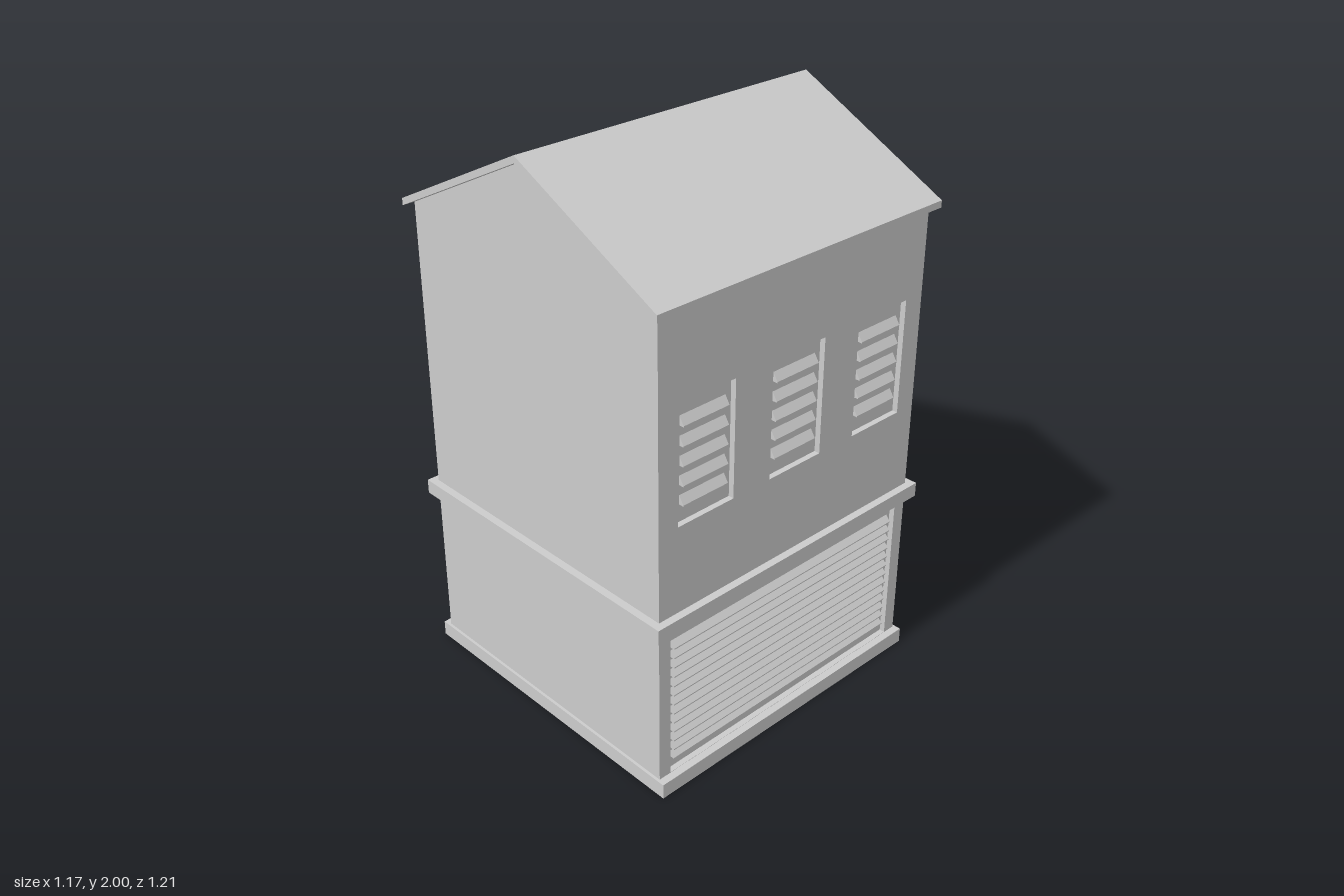
import * as THREE from 'three';

const material = new THREE.MeshStandardMaterial({ color: 0xcccccc, flatShading: true });

const HX = 0.56, HZ = 0.58;          // outer half sizes of the walls
const T = 0.035;                     // wall thickness
const BASE = 0.055, EAVE = 1.697;    // bottom and top of the side walls

function add(parent, name, geometry, x = 0, y = 0, z = 0) {
  const mesh = new THREE.Mesh(geometry, material);
  mesh.name = name;
  mesh.position.set(x, y, z);
  parent.add(mesh);
  return mesh;
}

const polygon = (pts) => new THREE.Shape(pts.map(([x, y]) => new THREE.Vector2(x, y)));
const rect = (x0, y0, x1, y1) => [[x0, y0], [x1, y0], [x1, y1], [x0, y1]];
const extrude = (shape, depth) =>
  new THREE.ExtrudeGeometry(shape, { depth, bevelEnabled: false });

// Flat rectangular ring lying on y = y0
function ring(parent, name, ox, oz, ix, iz, y0, y1) {
  const shape = polygon(rect(-ox, -oz, ox, oz));
  shape.holes.push(polygon(rect(-ix, -iz, ix, iz)));
  add(parent, name, extrude(shape, y1 - y0).rotateX(-Math.PI / 2), 0, y0, 0);
}

// Recessed panel with sloped slats, facing +x
function louvre(name, z, y0, y1, halfWidth, slatHalf, slatYs, slatHeight) {
  const group = new THREE.Group();
  group.name = name;
  const face = HX - 0.02;
  add(group, 'panel', new THREE.BoxGeometry(0.014, y1 - y0, halfWidth * 2),
    face - 0.007, (y0 + y1) / 2, z);
  const slat = extrude(polygon([[0, 0], [0.018, 0], [0.018, 0.004], [0, slatHeight]]), slatHalf * 2);
  for (const y of slatYs) add(group, 'slat', slat, face, y, z - slatHalf);
  return group;
}

export function createModel() {
  const model = new THREE.Group();
  model.name = 'building';

  // Front and back gable walls
  const gable = extrude(polygon([[-HX, BASE], [HX, BASE], [HX, EAVE], [0, 1.975], [-HX, EAVE]]), T);
  add(model, 'frontWall', gable, 0, 0, HZ - T);
  add(model, 'backWall', gable, 0, 0, -HZ);

  // Plain right-hand wall
  const height = EAVE - BASE;
  add(model, 'plainSideWall', new THREE.BoxGeometry(T, height, 2 * (HZ - T)),
    -HX + T / 2, BASE + height / 2, 0);

  // Side wall with door and window openings
  const windowZ = [-0.387, 0, 0.387];
  const wall = polygon(rect(-HZ + T, BASE - 0.005, HZ - T, EAVE));
  wall.holes.push(polygon(rect(-0.532, 0.056, 0.532, 0.595)));
  for (const z of windowZ) {
    wall.holes.push(polygon(rect(z - 0.115, 0.98, z + 0.115, 1.39)));
  }
  add(model, 'louvredSideWall', extrude(wall, T).rotateY(Math.PI / 2), HX - T, 0, 0);

  // Roller door
  const doorYs = Array.from({ length: 13 }, (_, i) => 0.1 + i * 0.0364);
  model.add(louvre('rollerDoor', 0, 0.056, 0.595, 0.532, 0.515, doorYs, 0.024));

  // Louvred windows
  const windowYs = Array.from({ length: 5 }, (_, i) => 1.04 + i * 0.0665);
  for (const z of windowZ) {
    model.add(louvre('window', z, 0.98, 1.39, 0.115, 0.092, windowYs, 0.032));
  }

  // Trim rings
  ring(model, 'baseTrim', 0.587, 0.59, 0.55, 0.56, 0, BASE);
  ring(model, 'middleBand', 0.587, 0.607, 0.5, 0.52, 0.62, 0.672);

  // Pitched roof slab
  const roof = extrude(polygon([
    [-0.587, 1.685], [0, 1.976], [0.587, 1.685], [0.587, 1.709], [0, 2], [-0.587, 1.709],
  ]), 1.214);
  add(model, 'roof', roof, 0, 0, -0.607);

  return model;
}
